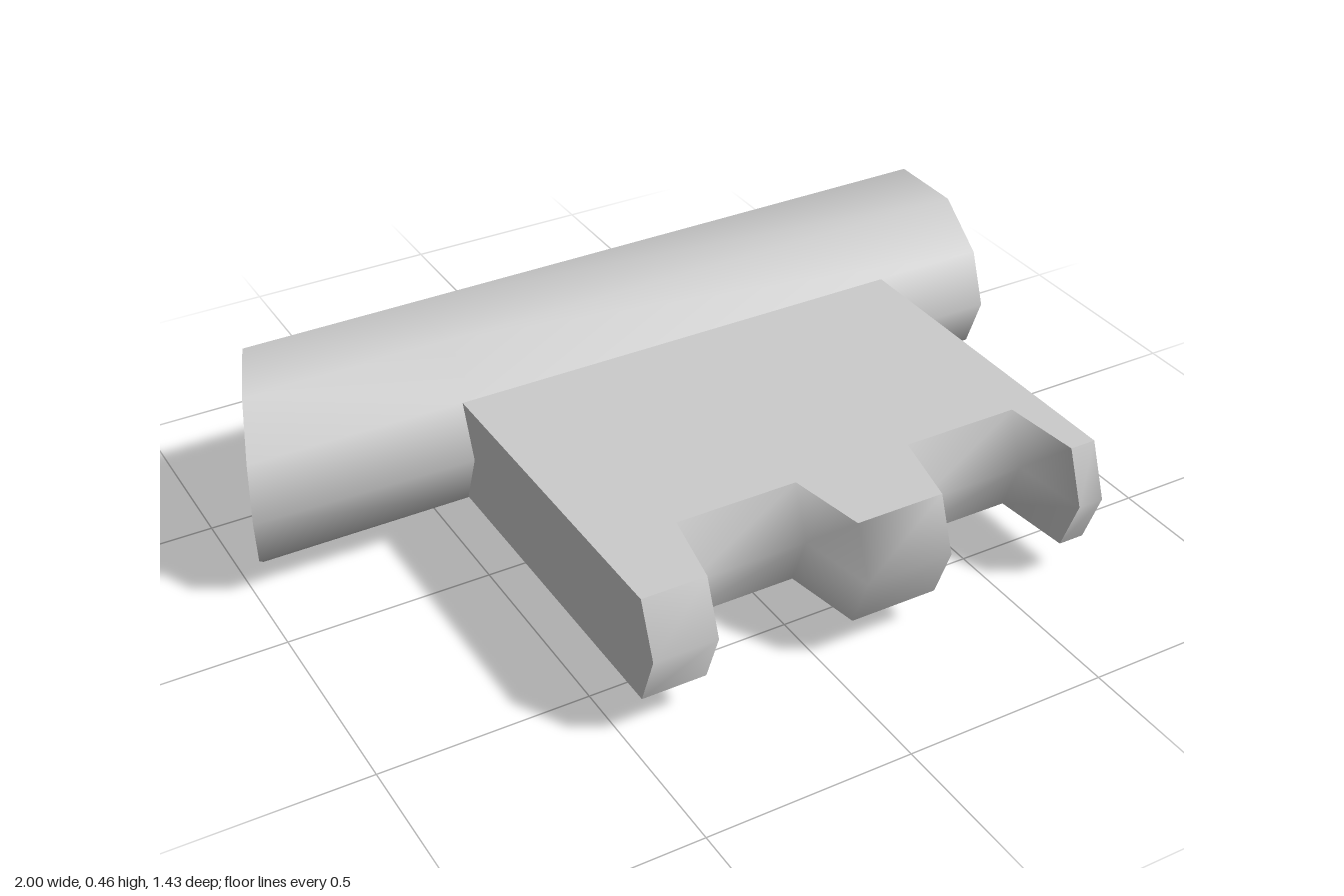
import * as THREE from 'three';
import { mergeVertices } from 'three/addons/utils/BufferGeometryUtils.js';

const material = new THREE.MeshStandardMaterial({ color: 0xcccccc });

function mesh(name, geometry) {
  geometry.computeVertexNormals();
  const m = new THREE.Mesh(geometry, material);
  m.name = name;
  return m;
}

// Smooth skin over rows of [x, y, z] points
function skin(name, rows) {
  const n = rows[0].length, index = [];
  for (let i = 0; i < rows.length - 1; i++) {
    for (let j = 0; j < n - 1; j++) {
      const a = i * n + j, b = a + 1, c = b + n, d = a + n;
      index.push(a, b, c, a, c, d);
    }
  }
  const g = new THREE.BufferGeometry();
  g.setAttribute('position', new THREE.Float32BufferAttribute(rows.flat(2), 3));
  g.setIndex(index);
  return mesh(name, mergeVertices(g));
}

// Flat polygon across the given axis (0 = x, 1 = y), facing the given sign
function cap(name, points, axis, sign) {
  const [u, v] = axis === 0 ? [1, 2] : [2, 0];
  const flat = points.map((p) => new THREE.Vector2(p[u], p[v]));
  const index = [];
  for (const [a, b, c] of THREE.ShapeUtils.triangulateShape(flat, [])) {
    const area = THREE.ShapeUtils.area([flat[a], flat[b], flat[c]]);
    if (area * sign > 0) index.push(a, b, c);
    else index.push(a, c, b);
  }
  const g = new THREE.BufferGeometry();
  g.setAttribute('position', new THREE.Float32BufferAttribute(points.flat(), 3));
  g.setIndex(index);
  return mesh(name, g);
}

function createShaft() {
  const shaft = new THREE.Group();
  shaft.name = 'shaft';
  // Ten-sided section: [y, z, x at slanted end, z at slanted end]
  const section = [
    [0.23, -0.135, -1, -0.15],
    [0.097, -0.185, -0.985, -0.19],
    [0, -0.31, -0.94, -0.31],
    [0, -0.51, -0.865, -0.51],
    [0.09, -0.64, -0.82, -0.635],
    [0.23, -0.715, -0.785, -0.705],
    [0.37, -0.64, -0.82, -0.635],
    [0.46, -0.51, -0.865, -0.51],
    [0.46, -0.31, -0.94, -0.31],
    [0.362, -0.185, -0.985, -0.19],
  ];
  const slanted = section.map(([y, , x, z]) => [x, y, z]);
  const ring = (x) => section.map(([y, z]) => [x, y, z]);
  const close = (r) => [...r, r[0]];
  shaft.add(
    skin('shaftSide', [slanted, ring(-0.43), ring(1)].map(close)),
    cap('slantedEnd', slanted, 0, -1),
    cap('squareEnd', ring(1), 0, 1),
  );
  return shaft;
}

function createBit() {
  const bit = new THREE.Group();
  bit.name = 'toothedBlade';
  const low = 0.097, mid = 0.23, high = 0.362, back = -0.185, ridge = 0.05;
  const tip = 0.665, notch = 0.47;
  // Toothed edge as [x, z], split where the shading has a hard corner
  const runs = [
    [[-0.46, tip], [-0.303, tip], [-0.265, notch], [0.037, notch], [0.07, tip], [0.29, tip]],
    [[0.29, tip], [0.335, notch], [0.627, notch], [0.645, tip]],
    [[0.645, tip], [0.71, tip]],
  ];
  // Edge faces bulge to a ridge at mid height
  for (const run of runs) {
    bit.add(skin('toothEdge', [[low, 0], [mid, ridge], [high, 0]].map(
      ([y, out]) => run.map(([x, z]) => [x, y, z + out]))));
  }
  // Top and bottom faces
  const outline = [[-0.46, back], ...runs[0], ...runs[1].slice(1), ...runs[2].slice(1), [0.71, back]];
  bit.add(
    cap('bladeTop', outline.map(([x, z]) => [x, high, z]), 1, 1),
    cap('bladeBottom', outline.map(([x, z]) => [x, low, z]), 1, -1),
  );
  // Side faces
  for (const [x, sign] of [[-0.46, -1], [0.71, 1]]) {
    bit.add(cap('bladeSide', [
      [x, low, back], [x, low, tip], [x, mid, tip + ridge], [x, high, tip], [x, high, back],
    ], 0, sign));
  }
  return bit;
}

export function createModel() {
  const model = new THREE.Group();
  model.name = 'keyShapedBlock';
  model.add(createShaft(), createBit());
  return model;
}
